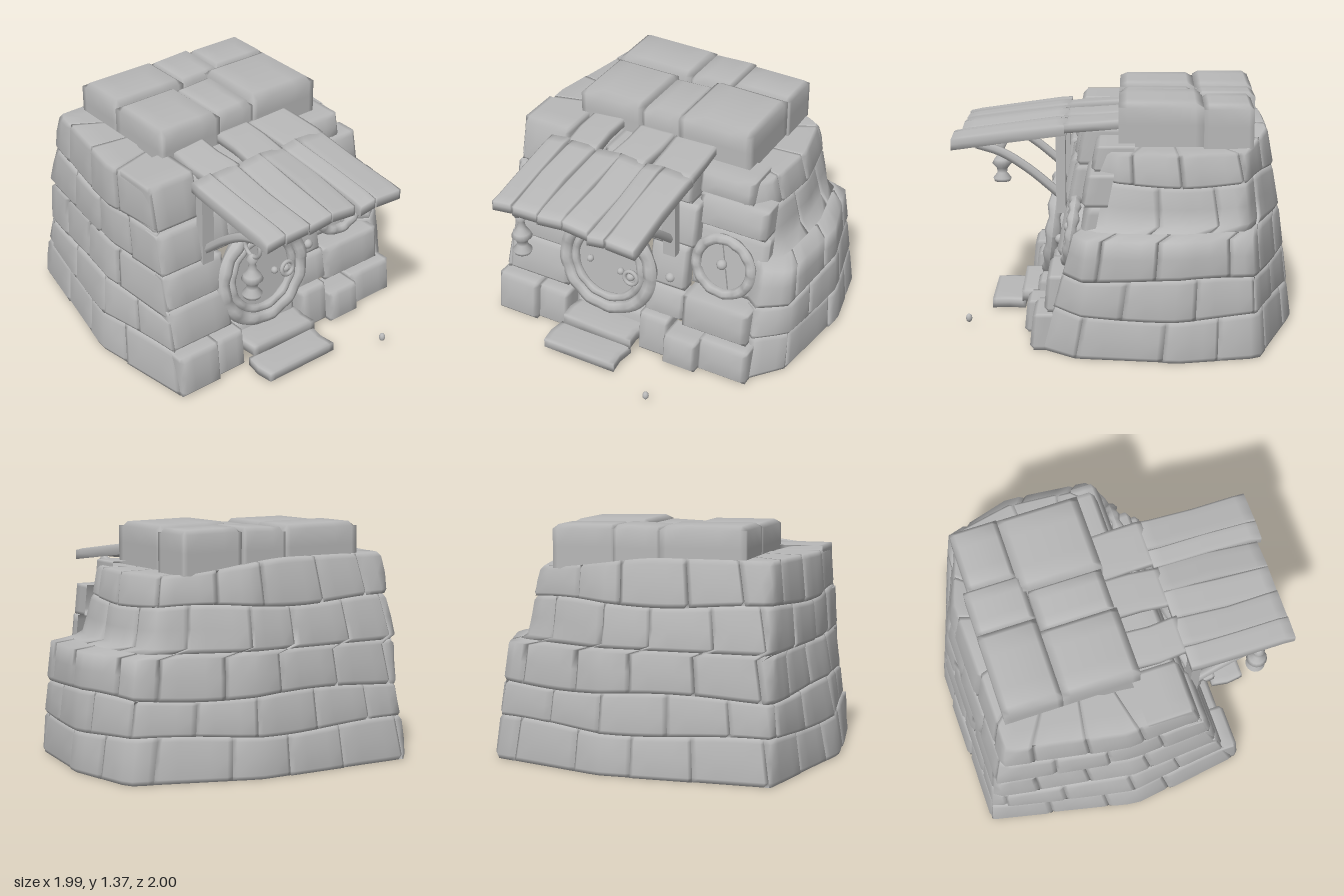
import * as THREE from 'three';
import { mergeVertices } from 'three/addons/utils/BufferGeometryUtils.js';

const stoneGrey = new THREE.MeshStandardMaterial({ color: 0xb8b8b8, side: THREE.DoubleSide });
stoneGrey.name = 'stone grey';

let seed = 7;
const rand = () => (seed = (seed * 16807) % 2147483647) / 2147483647;
const jitter = (a) => (rand() - 0.5) * 2 * a;
const lerp = THREE.MathUtils.lerp;

function add(parent, name, geometry, x = 0, y = 0, z = 0) {
  const mesh = new THREE.Mesh(geometry, stoneGrey);
  mesh.name = name;
  mesh.position.set(x, y, z);
  parent.add(mesh);
  return mesh;
}

// Soft-edged block: map(u, v, d) gives the point at u, v on its face, d of the way in (0..1).
// Open blocks are hollow shells without the hidden rear face.
const SPREAD_U = [0, 0.07, 0.3, 0.5, 0.7, 0.93, 1];
const SPREAD_V = [0, 0.1, 0.5, 0.9, 1];
function block(parent, name, map, edge, open) {
  let g = new THREE.BoxGeometry(1, 1, 1, 6, 4, 2);
  if (open) g.setIndex([...g.index.array.slice(0, g.groups[5].start)]);
  g.clearGroups();
  const p = g.attributes.position;
  for (let i = 0; i < p.count; i++) {
    const u = SPREAD_U[Math.round((p.getX(i) + 0.5) * 6)];
    const v = SPREAD_V[Math.round((p.getY(i) + 0.5) * 4)];
    let d = 0.5 - p.getZ(i);
    const onRim = u === 0 || u === 1 || v === 0 || v === 1;
    if (onRim && d === 0) d = edge;
    p.setXYZ(i, ...map(u, v, d));
  }
  g.deleteAttribute('normal');
  g.deleteAttribute('uv');
  g = mergeVertices(g, 1e-4);
  g.computeVertexNormals();
  return add(parent, name, g);
}

// Wall outlines [x, z] by height, from the front right corner round the back to the front left
const OUTLINES = [
  [0, [[0.77, 0.47], [0.93, 0.27], [1, -0.3], [0.91, -0.76], [0.2, -1], [-0.8, -0.99], [-1, -0.1], [-0.9, 0.57]]],
  [0.7, [[0.74, 0.28], [0.89, 0.21], [0.94, -0.3], [0.82, -0.71], [0.2, -0.91], [-0.77, -0.9], [-0.89, -0.1], [-0.86, 0.38]]],
  [0.71, [[0.69, 0.21], [0.76, 0.06], [0.78, -0.3], [0.74, -0.69], [0.2, -0.91], [-0.77, -0.9], [-0.89, -0.1], [-0.86, 0.38]]],
  [1.2, [[0.52, 0.16], [0.66, 0.03], [0.69, -0.35], [0.61, -0.68], [0.2, -0.82], [-0.74, -0.8], [-0.86, -0.15], [-0.85, 0.27]]],
];
function wallPoint(s, y) {
  let k = 0;
  while (k < OUTLINES.length - 2 && y > OUTLINES[k + 1][0]) k++;
  const [ya, a] = OUTLINES[k], [yb, b] = OUTLINES[k + 1];
  const t = (y - ya) / (yb - ya);
  const pts = a.map((q, i) => [lerp(q[0], b[i][0], t), lerp(q[1], b[i][1], t)]);
  const lens = pts.slice(1).map((q, i) => Math.hypot(q[0] - pts[i][0], q[1] - pts[i][1]));
  let rest = s * lens.reduce((m, n) => m + n, 0), i = 0;
  while (i < lens.length - 1 && rest > lens[i]) rest -= lens[i++];
  const f = rest / lens[i];
  return [lerp(pts[i][0], pts[i + 1][0], f), lerp(pts[i][1], pts[i + 1][1], f)];
}

// Courses of stones along the sides and back
function buildWalls(parent) {
  const levels = [0.01, 0.25, 0.46, 0.705, 0.95];
  const depths = [0.1, 0.1, 0.18, 0.1, 0.26];
  const edgeY = (r, s) => (r === 5 ? lerp(1.12, 1.2, THREE.MathUtils.smoothstep(s, 0.25, 0.5))
    : levels[r] + (r === 0 || r === 3 ? 0 : 0.015 * Math.sin(s * 19 + r * 2)));
  depths.forEach((depth, row) => {
    const count = row > 2 ? 11 : 12;
    const breaks = [0];
    for (let i = 1; i < count; i++) breaks.push((i + (row % 2 ? 0.25 : -0.2) + jitter(0.15)) / count);
    breaks.push(1);
    for (let i = 0; i < count; i++) {
      const push = jitter(0.008);
      block(parent, 'wallStone', (u, v, d) => {
        const s = lerp(breaks[i], breaks[i + 1], u);
        const y = lerp(edgeY(row, s), edgeY(row + 1, s), v);
        const [x, z] = wallPoint(s, y);
        const cx = -0.08 - x, cz = -0.25 - z, len = Math.hypot(cx, cz);
        const inward = (d * depth + push) / len;
        return [x + cx * inward, y, z + cz * inward];
      }, 0.014 / depth, true);
    }
  });
}

// Front stones: x0, x1, y0, y1, z of the face, depth
const FRONT = [
  [-0.89, -0.62, 0.01, 0.26, 0.59, 0.15], [-0.62, -0.42, 0.01, 0.24, 0.56, 0.15],
  [-0.42, 0.06, 0.01, 0.2, 0.45, 0.1], [0.06, 0.25, 0.01, 0.26, 0.52, 0.14],
  [0.25, 0.46, 0.01, 0.2, 0.57, 0.18], [0.46, 0.77, 0.01, 0.22, 0.52, 0.14],
  [0.06, 0.31, 0.25, 0.43, 0.43, 0.1], [0.31, 0.73, 0.22, 0.43, 0.44, 0.22],
  [-0.87, -0.45, 0.26, 0.5, 0.47, 0.1], [-0.86, -0.45, 0.5, 0.71, 0.42, 0.1],
  [-0.86, -0.54, 0.71, 0.95, 0.37, 0.12], [-0.54, -0.36, 0.71, 0.95, 0.34, 0.1],
  [-0.37, -0.04, 0.74, 0.97, 0.33, 0.1], [-0.04, 0.14, 0.71, 0.98, 0.34, 0.1],
  [0.06, 0.3, 0.43, 0.71, 0.37, 0.1], [0.14, 0.33, 0.71, 0.97, 0.31, 0.1],
  [0.29, 0.75, 0.43, 0.83, 0.25, 0.08], [0.3, 0.73, 0.83, 1.01, 0.22, 0.15],
  [0.28, 0.62, 1.01, 1.15, 0.17, 0.22], [-0.85, -0.54, 0.95, 1.22, 0.29, 0.28],
  [-0.54, -0.3, 0.95, 1.17, 0.27, 0.25], [-0.3, 0.02, 0.97, 1.17, 0.28, 0.25],
  [0.02, 0.28, 0.97, 1.18, 0.26, 0.25],
];

// Roof slabs: x0, x1, z front, z back, top height
const ROOF = [
  [-0.59, -0.1, -0.42, -0.76, 1.38], [-0.1, 0.17, -0.42, -0.76, 1.37], [0.17, 0.54, -0.45, -0.73, 1.37],
  [-0.59, -0.18, 0.03, -0.42, 1.37], [-0.18, 0.07, 0.02, -0.41, 1.355], [0.07, 0.53, 0.03, -0.45, 1.38],
];

function plank(parent, name, x0, x1, zb, yb, zf, yf, thick) {
  const twist = jitter(0.01);
  block(parent, name, (u, v, d) => [
    lerp(x0, x1, u) + 0.008 * Math.sin(v * 5 + x0 * 9),
    lerp(yf, yb, v) - d * thick + twist * (u - 0.5) * 2,
    lerp(zf, zb, v),
  ], 0.08, false);
}

// Carved round frame with a slightly uneven face
function roundFrame(parent, name, radius, tube) {
  const g = new THREE.TorusGeometry(radius, tube, 8, 48);
  const p = g.attributes.position;
  for (let i = 0; i < p.count; i++) {
    const a = Math.atan2(p.getY(i), p.getX(i));
    p.setZ(i, p.getZ(i) * (1 + 0.2 * Math.sin(a * 12)));
  }
  g.computeVertexNormals();
  return add(parent, name, g);
}
function disc(parent, name, radius, thick, z) {
  return add(parent, name, new THREE.CylinderGeometry(radius, radius, thick, 40).rotateX(Math.PI / 2), 0, 0, z);
}
const ball = (parent, name, r, x, y, z) => add(parent, name, new THREE.SphereGeometry(r, 14, 10), x, y, z);

export function createModel() {
  const model = new THREE.Group();
  model.name = 'stoneHut';
  buildWalls(model);
  for (const [x0, x1, y0, y1, z, depth] of FRONT) {
    const lean = y0 < 0.25 ? 0.1 : 0.2;
    block(model, 'frontStone', (u, v, d) => [
      lerp(x0, x1, u), lerp(y0, y1, v), z - d * depth - (v - 0.5) * (y1 - y0) * lean,
    ], 0.022 / depth, true);
  }
  for (const [x0, x1, zf, zb, top] of ROOF) {
    const tilt = jitter(0.012);
    block(model, 'roofSlab', (u, v, d) => [
      lerp(x0, x1, u), top - d * 0.25 + tilt * (u - 0.5) * (1 - d), lerp(zf, zb, v),
    ], 0.1, true);
  }

  // Round door
  const door = new THREE.Group();
  door.name = 'door';
  door.position.set(-0.19, 0.49, 0.43);
  door.rotation.x = -0.11;
  model.add(door);
  roundFrame(door, 'doorFrame', 0.288, 0.042);
  roundFrame(door, 'doorRim', 0.225, 0.026);
  disc(door, 'doorPanel', 0.26, 0.04, -0.035);
  ball(door, 'doorStud', 0.022, -0.12, 0, 0.005);
  ball(door, 'doorStud', 0.022, 0.09, -0.02, 0.005);
  add(door, 'doorKnocker', new THREE.TorusGeometry(0.042, 0.013, 8, 20), 0.17, -0.03, 0.025);
  ball(door, 'knockerBoss', 0.025, 0.165, -0.03, 0.015);
  ball(model, 'bellKnob', 0.03, 0.205, 0.5, 0.38);

  // Round window
  const win = new THREE.Group();
  win.name = 'window';
  win.position.set(0.51, 0.635, 0.3);
  win.rotation.x = -0.15;
  model.add(win);
  roundFrame(win, 'windowFrame', 0.175, 0.032);
  disc(win, 'windowPane', 0.17, 0.04, -0.03);
  for (const a of [0.2, 0.2 + Math.PI / 2]) {
    add(win, 'windowBar', new THREE.BoxGeometry(0.32, 0.022, 0.02), 0, 0, -0.005).rotation.z = a;
  }
  ball(win, 'windowBoss', 0.032, -0.005, 0.02, 0.015);

  // Steps and pebble
  plank(model, 'lowerStep', -0.43, 0.05, 0.6, 0.085, 0.8, 0.085, 0.06);
  plank(model, 'upperStep', -0.4, 0.06, 0.43, 0.15, 0.62, 0.15, 0.07);
  ball(model, 'pebble', 0.022, 0.34, 0.055, 0.915).scale.set(0.85, 1.15, 0.85);

  // Plank awning
  const edges = [-0.61, -0.48, -0.31, -0.14, 0.03, 0.14, 0.325];
  for (let i = 0; i < 6; i++) {
    plank(model, 'awningPlank', edges[i], edges[i + 1], 0.33, 1.222, i > 3 ? 0.998 : 0.965, 1.135, 0.065);
  }
  for (const [x0, x1] of [[-0.51, -0.3], [-0.2, 0.03], [0.05, 0.32]]) {
    plank(model, 'awningBoard', x0, x1, 0, 1.24, 0.35, 1.215, 0.055);
  }
  add(model, 'awningBeam', new THREE.BoxGeometry(0.86, 0.05, 0.05), -0.16, 1.14, 0.37);

  // Posts and curved braces
  for (const x of [-0.555, 0.205]) {
    add(model, 'awningPost', new THREE.BoxGeometry(0.08, 0.49, 0.055), x, 0.915, 0.37);
    const curve = new THREE.CatmullRomCurve3([[1.075, 0.86], [1.03, 0.72], [0.93, 0.56], [0.77, 0.37]]
      .map(([y, z]) => new THREE.Vector3(x, y, z)));
    add(model, 'awningBrace', new THREE.TubeGeometry(curve, 16, 0.028, 6));
  }

  // Hanging lantern
  const profile = [[0, 0.665], [0.05, 0.675], [0.058, 0.695], [0.03, 0.73], [0.035, 0.76], [0.062, 0.79],
    [0.05, 0.815], [0.025, 0.85], [0.02, 0.89], [0.036, 0.92], [0.015, 0.945], [0, 0.95]];
  add(model, 'lantern', new THREE.LatheGeometry(profile.map((q) => new THREE.Vector2(...q)), 16), -0.55, 0, 0.78);
  add(model, 'lanternHook', new THREE.TorusGeometry(0.065, 0.012, 8, 24), -0.55, 1.0, 0.78).rotation.y = Math.PI / 2;
  return model;
}
